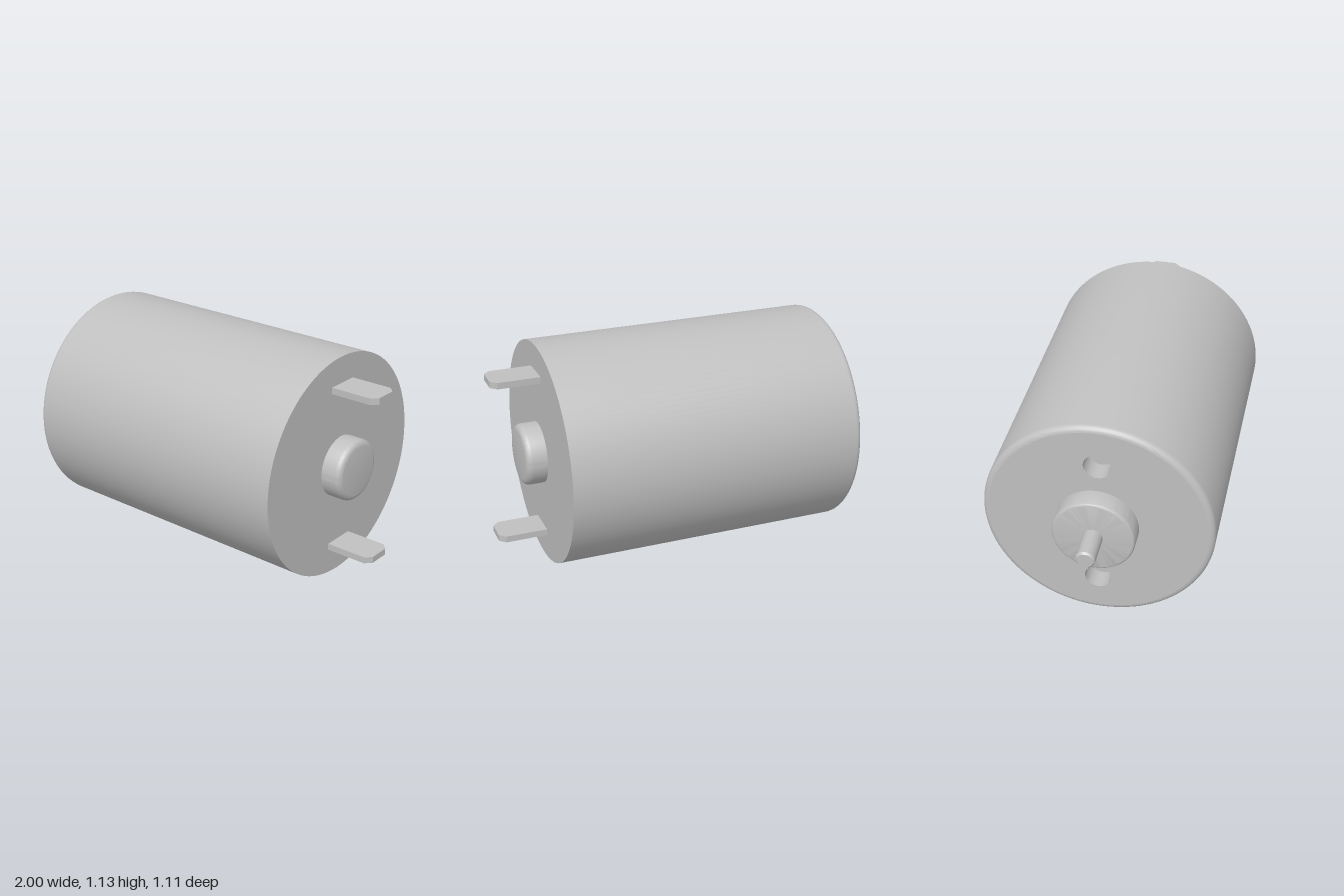
import * as THREE from 'three';
import { toCreasedNormals } from 'three/addons/utils/BufferGeometryUtils.js';

const RADIUS = 0.556, HALF = 0.7475, BEVEL = 0.03;
const HOLE_R = 0.065, HOLE_Y = 0.34, PIN_Y = 0.408;

// Turned part around the x axis; profile points are [radius, x] from -x to +x
function turned(name, profile, material, segments = 96) {
  const points = profile.map(([r, x]) => new THREE.Vector2(r, x));
  const geo = new THREE.LatheGeometry(points, segments).rotateZ(-Math.PI / 2);
  const mesh = new THREE.Mesh(toCreasedNormals(geo, 0.5), material);
  mesh.name = name;
  return mesh;
}

// Quarter-round edge: dir -1 opens from the left face, +1 closes onto the right face
function roundEdge(radius, x, bevel, dir, steps = 5) {
  const arc = [];
  for (let i = 0; i <= steps; i++) {
    const a = (i / steps) * Math.PI / 2;
    arc.push([radius - bevel + bevel * Math.sin(a), x - dir * bevel + dir * bevel * Math.cos(a)]);
  }
  return dir < 0 ? arc : arc.reverse();
}

export function createModel() {
  const root = new THREE.Group();
  root.name = 'electricMotor';
  const metal = new THREE.MeshStandardMaterial({ color: 0xc0c0c0 });
  metal.name = 'grey metal';

  const motor = new THREE.Group();
  motor.name = 'motor';
  root.add(motor);

  // Can: rounded left rim, sharp right rim with flat end
  motor.add(turned('housing', [
    ...roundEdge(RADIUS, -HALF, BEVEL, -1), [RADIUS, HALF], [0, HALF],
  ], metal, 128));

  // Left end plate with two screw holes
  const plate = new THREE.Shape().absarc(0, 0, RADIUS - BEVEL, 0, Math.PI * 2);
  for (const s of [1, -1]) {
    plate.holes.push(new THREE.Path().absarc(0, s * HOLE_Y, HOLE_R, 0, Math.PI * 2, true));
    const hole = turned('screwHole', [[0, 0.1], [HOLE_R, 0.1], [HOLE_R, 0]], metal, 64);
    hole.position.set(-HALF, s * HOLE_Y, 0);
    motor.add(hole);
  }
  const endPlate = new THREE.Mesh(new THREE.ShapeGeometry(plate, 64).rotateY(-Math.PI / 2), metal);
  endPlate.name = 'endPlate';
  endPlate.position.x = -HALF;
  motor.add(endPlate);

  // Bearing bosses and output shaft
  motor.add(turned('frontBearing', [
    [0, -0.846], ...roundEdge(0.198, -0.846, 0.015, -1), [0.198, -HALF],
  ], metal));
  motor.add(turned('rearBearing', [
    [0.152, HALF], ...roundEdge(0.152, 0.851, 0.03, 1), [0, 0.851],
  ], metal));
  motor.add(turned('shaft', [
    [0, -1.007], [0.038, -1.007], [0.047, -0.998], [0.047, -0.84],
  ], metal, 40));

  // Terminal blades with clipped tip corners, drawn in x and z
  const w = 0.0825, tip = 0.987, clip = 0.03;
  const blade = new THREE.Shape([
    [HALF - 0.01, -w], [tip - clip, -w], [tip, -w + clip],
    [tip, w - clip], [tip - clip, w], [HALF - 0.01, w],
  ].map(([x, z]) => new THREE.Vector2(x, z)));
  const bladeGeo = new THREE.ExtrudeGeometry(blade, { depth: 0.032, bevelEnabled: false })
    .translate(0, 0, -0.016).rotateX(Math.PI / 2);
  for (const s of [1, -1]) {
    const terminal = new THREE.Mesh(bladeGeo, metal);
    terminal.name = s > 0 ? 'upperTerminal' : 'lowerTerminal';
    terminal.position.y = s * PIN_Y;
    motor.add(terminal);
  }

  // The motor rests with a very slight tilt and roll
  motor.rotation.set(0.0088, 0, 0.0095);
  motor.position.set(0.0075, 0.5655, 0);
  return root;
}
